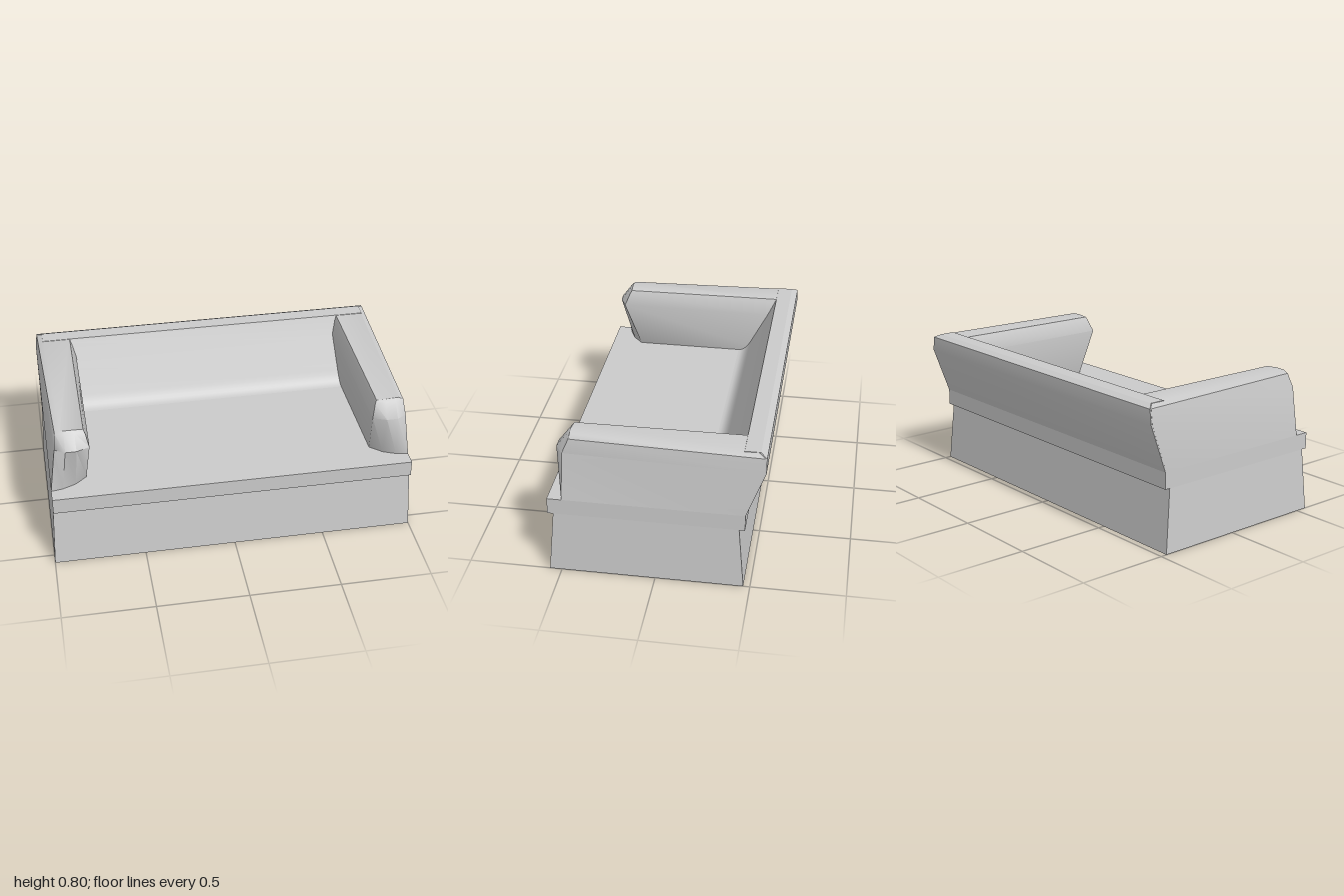
import * as THREE from 'three';
import { toCreasedNormals } from 'three/addons/utils/BufferGeometryUtils.js';

const material = new THREE.MeshStandardMaterial({ color: 0xcccccc });

// Skins a list of equal-length closed rings of [x, y, z]; rings run
// counter-clockwise seen from the end they advance towards.
function loft(name, rings, { caps = true, crease = 0.3 } = {}) {
  const n = rings[0].length;
  const pos = [];
  const quad = (a, b, c, d) => pos.push(...a, ...b, ...c, ...a, ...c, ...d);
  for (let k = 0; k < rings.length - 1; k++) {
    for (let i = 0; i < n; i++) {
      const j = (i + 1) % n;
      quad(rings[k][i], rings[k][j], rings[k + 1][j], rings[k + 1][i]);
    }
  }
  // End caps are strips between opposite sides of the ring
  for (let i = 0; caps && i < n / 2 - 1; i++) {
    const pick = r => [r[i], r[i + 1], r[n - 2 - i], r[n - 1 - i]];
    quad(...pick(rings[rings.length - 1]));
    quad(...pick(rings[0]).reverse());
  }
  const geometry = new THREE.BufferGeometry();
  geometry.setAttribute('position', new THREE.Float32BufferAttribute(pos, 3));
  const mesh = new THREE.Mesh(toCreasedNormals(geometry, crease), material);
  mesh.name = name;
  return mesh;
}

// Horizontal rectangle, centred slightly forward under the seat
const rect = (hx, hz, y, cz = 0.05) => [
  [hx, y, cz + hz], [hx, y, cz - hz], [-hx, y, cz - hz], [-hx, y, cz + hz],
];

export function createModel() {
  const sofa = new THREE.Group();
  sofa.name = 'sofa';

  // Hollow tapered base, open below
  sofa.add(loft('base', [
    rect(0.935, 0.435, 0.345), rect(0.948, 0.463, 0),
    rect(1, 0.515, 0), rect(0.985, 0.485, 0.345),
  ], { caps: false }));

  // Seat slab overhanging the base and closing it from above
  sofa.add(loft('seat', [rect(0.985, 0.515, 0.345), rect(0.985, 0.515, 0.435)]));

  // Backrest: side profile [halfWidth, y, z] from the rear foot over the top,
  // then down the sloping front into a soft curve that meets the seat
  const fillet = new THREE.QuadraticBezierCurve(
    new THREE.Vector2(-0.3, 0.504), new THREE.Vector2(-0.265, 0.435), new THREE.Vector2(-0.225, 0.435),
  ).getPoints(6).map(p => [0.95, p.y, p.x]);
  const backProfile = [
    [0.985, 0.435, -0.465], [0.985, 0.70, -0.563], [0.975, 0.78, -0.563],
    [0.945, 0.797, -0.53], [0.945, 0.797, -0.448], [0.945, 0.785, -0.443],
    [0.95, 0.66, -0.379], ...fillet,
  ];
  sofa.add(loft('backrest', [-1, 1].map(s =>
    backProfile.map(([x, y, z]) => [s * x, y, z])), { crease: 0.45 }));

  // Armrest: rear section, front section, then the bulging front face,
  // whose foot runs back towards the inner side
  const armRings = [
    [[0.985, 0.435, -0.46], [0.985, 0.70, -0.555], [0.975, 0.78, -0.555], [0.945, 0.795, -0.52],
      [0.79, 0.795, -0.48], [0.78, 0.77, -0.47], [0.76, 0.70, -0.46], [0.785, 0.435, -0.40]],
    [[0.985, 0.435, 0.487], [0.95, 0.70, 0.48], [0.94, 0.78, 0.445], [0.91, 0.794, 0.445],
      [0.79, 0.79, 0.445], [0.782, 0.77, 0.455], [0.765, 0.70, 0.485], [0.788, 0.435, 0.39]],
    [[0.92, 0.435, 0.475], [0.895, 0.705, 0.52], [0.893, 0.782, 0.462], [0.88, 0.794, 0.449],
      [0.85, 0.794, 0.449], [0.838, 0.782, 0.462], [0.835, 0.705, 0.52], [0.85, 0.435, 0.445]],
  ];
  sofa.add(loft('leftArm', armRings, { crease: 0.9 }));
  sofa.add(loft('rightArm', armRings.map(ring =>
    ring.map(([x, y, z]) => [-x, y, z]).reverse()), { crease: 0.9 }));

  return sofa;
}
